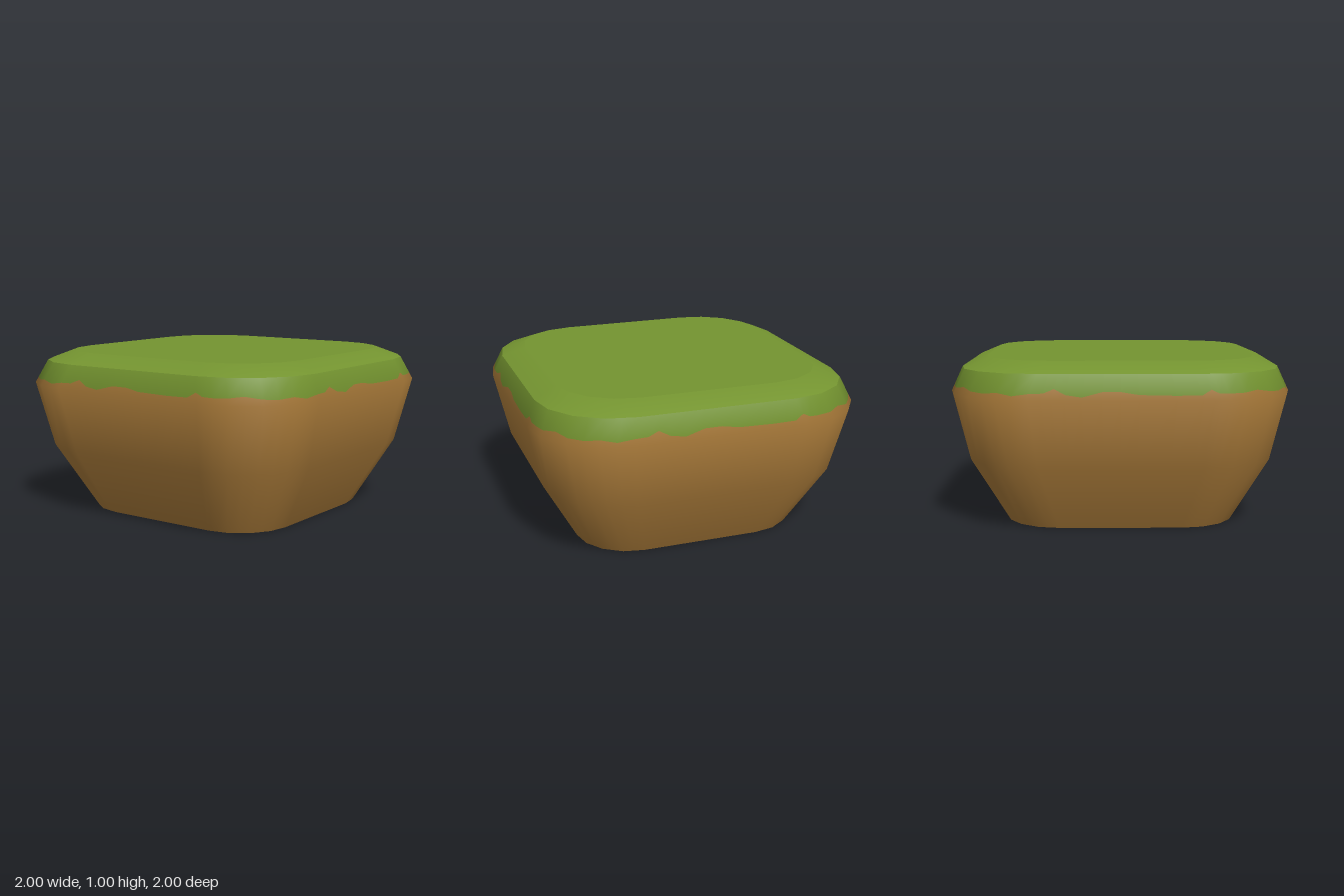
import * as THREE from 'three';

// Around one side: [position, height of the grass edge].
// |position| <= 1 is the straight run, 1 to 3 is half of a rounded corner.
const GRASS_EDGE = [
  [-3, 0.832], [-2.5, 0.826], [-2, 0.836], [-1.5, 0.82], [-1, 0.834], [-0.85, 0.836],
  [-0.74, 0.86], [-0.6, 0.828], [-0.42, 0.815], [-0.2, 0.844], [0, 0.844], [0.2, 0.828],
  [0.6, 0.824], [0.88, 0.826], [1, 0.856], [1.2, 0.836], [1.5, 0.833], [2, 0.836], [2.5, 0.846],
];
const N = GRASS_EDGE.length * 4;
const deg = THREE.MathUtils.degToRad;
const lerp = THREE.MathUtils.lerp;

// Point on the front quarter of a rounded square with half width h, straight half length c
function outline(p, h, c) {
  const a = Math.abs(p);
  if (a <= 1) return [p * c, h];
  const at = (k) => {
    const t = deg(22.5 * (k - 1));
    return [c + (h - c) * Math.sin(t), c + (h - c) * Math.cos(t)];
  };
  const k = Math.min(Math.floor(a), 2);
  const p0 = at(k), p1 = at(k + 1);
  return [Math.sign(p) * lerp(p0[0], p1[0], a - k), lerp(p0[1], p1[1], a - k)];
}

// Closed ring; tilt is the upward angle of its normals in degrees
const ring = (y, h, c, tilt) => () => ({ y, h, c, tilt });

// Ragged ring running along the grass edge
const grassEdge = (y) => {
  const t = (y - 0.8) / 0.14;
  return { y, h: lerp(1, 0.94, t), c: lerp(0.52, 0.47, t), tilt: lerp(5, 23, t) };
};

// Surface through rings listed from bottom to top
function loft(name, material, rings) {
  const positions = [], normals = [], index = [];
  for (const section of rings) {
    for (let side = 0; side < 4; side++) {
      const cs = Math.round(Math.cos(side * Math.PI / 2));
      const sn = Math.round(Math.sin(side * Math.PI / 2));
      for (const [p, edgeY] of GRASS_EDGE) {
        const { y, h, c, tilt } = section(edgeY);
        const [x, z] = outline(p, h, c);
        positions.push(x * cs + z * sn, y, z * cs - x * sn);
        const turn = side * Math.PI / 2 + Math.sign(p) * deg(22.5 * Math.max(0, Math.abs(p) - 1));
        const flat = Math.cos(deg(tilt));
        normals.push(Math.sin(turn) * flat, Math.sin(deg(tilt)), Math.cos(turn) * flat);
      }
    }
  }
  const closed = (j) => rings[j](0.83).h === 0; // ring shrunk to a point
  for (let j = 0; j < rings.length - 1; j++) {
    for (let i = 0; i < N; i++) {
      const a = j * N + i, b = j * N + (i + 1) % N;
      if (!closed(j)) index.push(a, b, b + N);
      if (!closed(j + 1)) index.push(a, b + N, a + N);
    }
  }
  // A quad next to a point needs only its single remaining triangle
  const geometry = new THREE.BufferGeometry();
  geometry.setAttribute('position', new THREE.Float32BufferAttribute(positions, 3));
  geometry.setAttribute('normal', new THREE.Float32BufferAttribute(normals, 3));
  geometry.setIndex(index);
  const mesh = new THREE.Mesh(geometry, material);
  mesh.name = name;
  return mesh;
}

export function createModel() {
  const grass = new THREE.MeshStandardMaterial({ color: 0x749430 });
  grass.name = 'grass green';
  const soil = new THREE.MeshStandardMaterial({ color: 0xa67838 });
  soil.name = 'soil brown';

  const group = new THREE.Group();
  group.name = 'grassBlock';
  group.add(
    // Flat underside
    loft('soilBase', soil, [ring(0, 0, 0, -90), ring(0, 0.69, 0.36, -90)]),
    // Tapered earth walls up to the ragged edge
    loft('soilWalls', soil, [
      ring(0, 0.69, 0.36, -29), ring(0.4, 0.91, 0.47, -20), ring(0.8, 1, 0.52, 5), grassEdge,
    ]),
    // Grass rim hanging over the walls
    loft('grassRim', grass, [grassEdge, ring(0.94, 0.94, 0.47, 23)]),
    // Shallow bevel and flat lawn
    loft('grassBevel', grass, [ring(0.94, 0.94, 0.47, 67), ring(1, 0.8, 0.41, 80)]),
    loft('grassTop', grass, [ring(1, 0.8, 0.41, 90), ring(1, 0, 0, 90)]),
  );
  return group;
}
